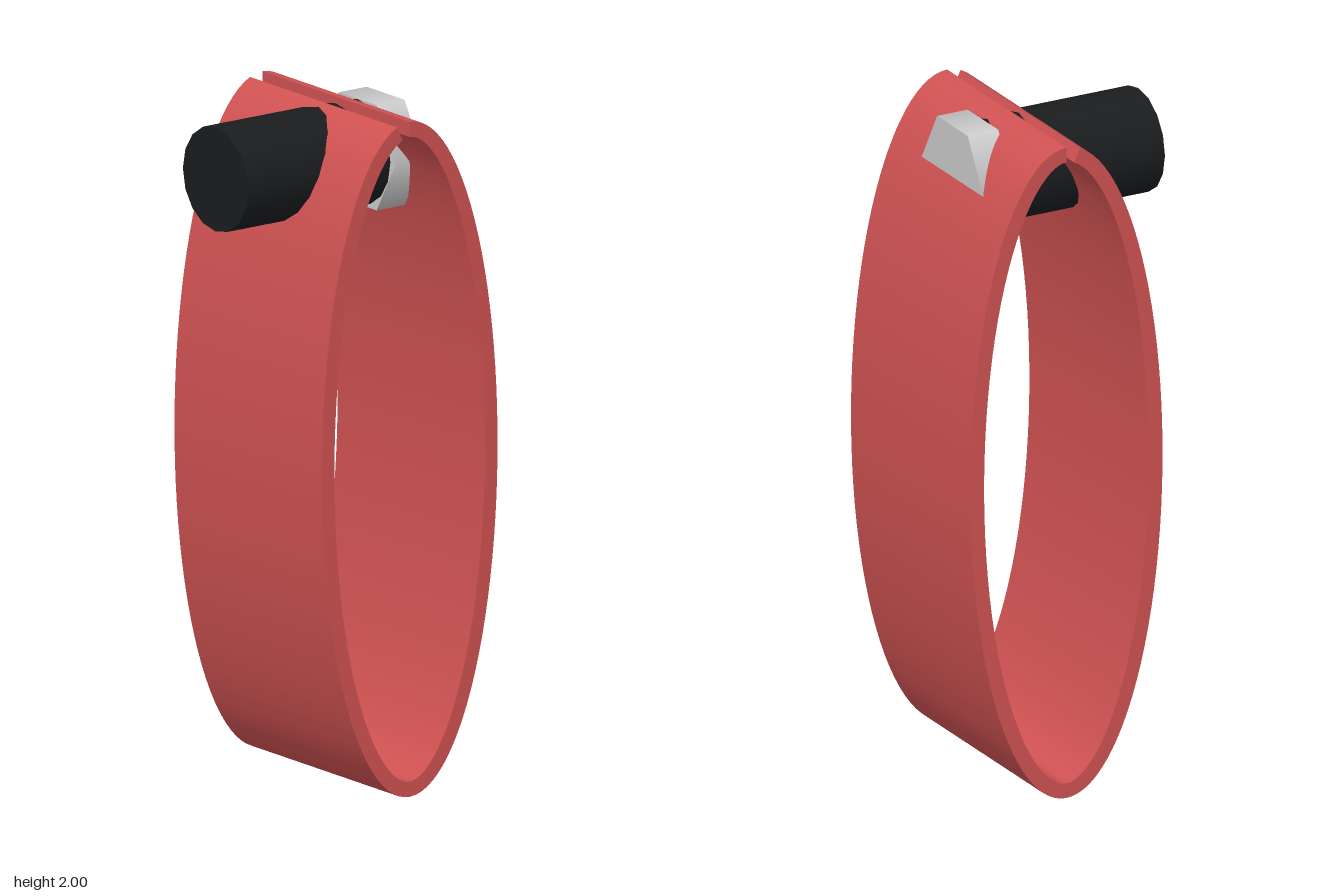
import * as THREE from 'three';
import { toCreasedNormals } from 'three/addons/utils/BufferGeometryUtils.js';

const red = new THREE.MeshStandardMaterial({ color: 0xd05252 });
const black = new THREE.MeshStandardMaterial({ color: 0x1a1c1e });
const grey = new THREE.MeshStandardMaterial({ color: 0xcccccc });

// Split elliptical strap profile, u = z and v = y, with an even wall thickness
function bandShape() {
  const a = 0.315, b = 1, wall = 0.045, cz = -0.057, start = 0.14, n = 96;
  const outer = [], inner = [];
  for (let i = 0; i <= n; i++) {
    const t = start + (Math.PI * 2 - start) * i / n;
    const p = new THREE.Vector2(cz + a * Math.sin(t), 1 + b * Math.cos(t));
    const normal = new THREE.Vector2(Math.sin(t) / a, Math.cos(t) / b).normalize();
    outer.push(p);
    inner.push(p.clone().addScaledVector(normal, -wall));
  }
  return new THREE.Shape([...outer, ...inner.reverse()]);
}

// Cylinder lying along z between two depths
function rod(name, radius, sides, z0, z1, thetaStart, material) {
  const geo = new THREE.CylinderGeometry(radius, radius, z1 - z0, sides, 1, false, thetaStart);
  geo.rotateX(Math.PI / 2);
  const mesh = new THREE.Mesh(geo, material);
  mesh.name = name;
  mesh.position.set(0, 1.825, (z0 + z1) / 2);
  return mesh;
}

export function createModel() {
  const group = new THREE.Group();
  group.name = 'bandClamp';

  // Strap, extruded across its width
  const width = 0.7;
  let geo = new THREE.ExtrudeGeometry(bandShape(), { depth: width, bevelEnabled: false });
  geo.translate(0, 0, -width / 2);
  geo.rotateY(-Math.PI / 2); // profile u to z, depth to -x
  geo = toCreasedNormals(geo, 0.6);
  const band = new THREE.Mesh(geo, red);
  band.name = 'band';
  group.add(band);

  // Round shaft through the strap and the hexagonal nut behind it
  group.add(rod('shaft', 0.155, 16, -0.135, 0.375, 0, black));
  group.add(rod('hexNut', 0.18, 6, -0.235, -0.135, Math.PI / 6, grey));
  return group;
}
